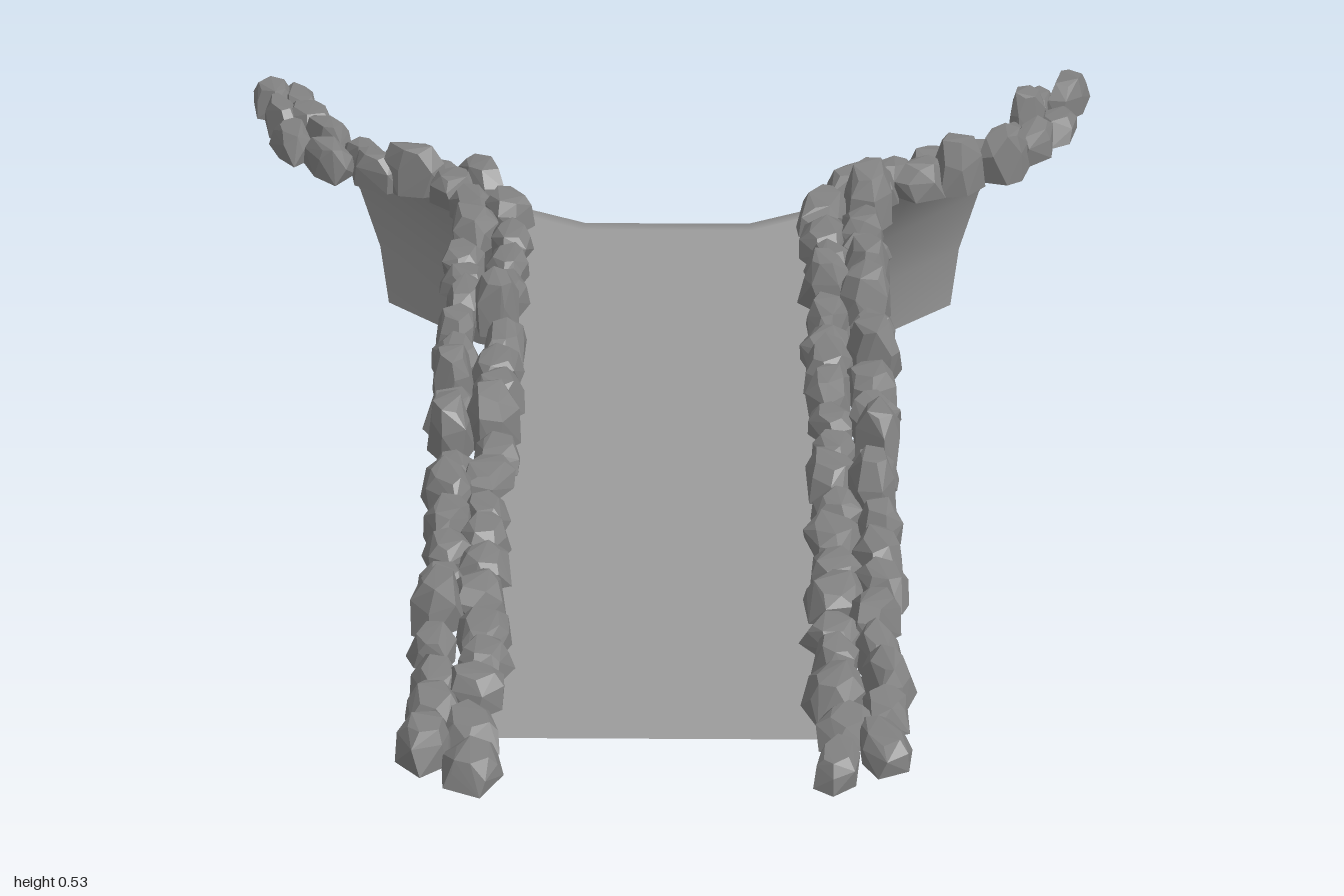
import * as THREE from 'three';
import { mergeGeometries } from 'three/addons/utils/BufferGeometryUtils.js';
import { ConvexGeometry } from 'three/addons/geometries/ConvexGeometry.js';

const DECK = 0.445;

function seeded(seed) {
  let s = seed;
  return () => (s = (s * 16807) % 2147483647) / 2147483647;
}

// Flat channel floor
function makeBed(material) {
  const shape = new THREE.Shape([
    [-0.24, 0.86], [0.24, 0.86], [0.24, -0.525], [0.13, -0.47], [-0.13, -0.47], [-0.24, -0.525],
  ].map(([x, z]) => new THREE.Vector2(x, -z)));
  const geo = new THREE.ShapeGeometry(shape);
  geo.rotateX(-Math.PI / 2);
  geo.translate(0, DECK, 0);
  const mesh = new THREE.Mesh(geo, material);
  mesh.name = 'channelBed';
  return mesh;
}

// Curved fall: each column drops from the top edge to the flared foot
function makeFall(material) {
  const foot = [[0.463, -1], [0.31, -0.87], [0.11, -0.795]];
  const lip = [[0.64, -0.91], [0.45, -0.63], [0.13, -0.47]];
  const mirror = (half) => [...half.map(([x, z]) => [-x, z]), ...half.slice().reverse()];
  const bottom = mirror(foot), top = mirror(lip);
  const profile = [[0, 0], [0.06, 0.11], [0.22, 0.225], [0.48, 0.335], [0.75, 0.41], [1, DECK]];
  const positions = [], index = [], n = bottom.length;
  for (const [f, y] of profile) {
    for (let i = 0; i < n; i++) {
      positions.push(
        THREE.MathUtils.lerp(bottom[i][0], top[i][0], f), y,
        THREE.MathUtils.lerp(bottom[i][1], top[i][1], f));
    }
  }
  for (let r = 0; r < profile.length - 1; r++) {
    for (let i = 0; i < n - 1; i++) {
      const a = r * n + i, b = a + 1, c = a + n, d = c + 1;
      index.push(a, c, b, b, c, d);
    }
  }
  const geo = new THREE.BufferGeometry();
  geo.setAttribute('position', new THREE.Float32BufferAttribute(positions, 3));
  geo.setIndex(index);
  geo.computeVertexNormals();
  // The middle of the top edge blends smoothly into the bed
  const lastRow = (profile.length - 1) * n;
  for (let i = 1; i < n - 1; i++) geo.attributes.normal.setXYZ(lastRow + i, 0, 1, 0);
  const mesh = new THREE.Mesh(geo, material);
  mesh.name = 'curvedFall';
  return mesh;
}

// Faceted stone: three jittered rings wrapped in a convex hull
function makeStone(rand, along, across, height) {
  const points = [], sides = 6, turn = rand() * Math.PI;
  for (const [level, scale] of [[0, 1], [0.65, 0.9], [1, 0.6]]) {
    for (let i = 0; i < sides; i++) {
      const a = turn + (i + (rand() - 0.5) * 0.6) / sides * Math.PI * 2;
      const r = scale * (0.88 + rand() * 0.24);
      const drop = level === 0 ? 0 : rand() * 0.15;
      points.push(new THREE.Vector3(
        Math.cos(a) * r * across, (level - drop) * height, Math.sin(a) * r * along));
    }
  }
  return new ConvexGeometry(points);
}

// Two staggered rows of overlapping stones along the channel and fall
function makeStoneEdge(side, material) {
  const rand = seeded(side > 0 ? 4211 : 977);
  const path = new THREE.CurvePath();
  const v = (x, z) => new THREE.Vector3(x, DECK, z);
  path.add(new THREE.LineCurve3(v(0.268, 0.94), v(0.268, -0.48)));
  path.add(new THREE.CatmullRomCurve3([
    v(0.268, -0.48), v(0.29, -0.55), v(0.37, -0.6), v(0.49, -0.65),
    v(0.565, -0.73), v(0.59, -0.8), v(0.607, -0.865),
  ]));
  const stones = [], count = 27;
  for (let row = 0; row < 2; row++) {
    for (let i = 0; i < count; i++) {
      const t = Math.min(1, (i + row * 0.4 + rand() * 0.3) / (count - 0.4));
      const p = path.getPointAt(t), d = path.getTangentAt(t);
      const narrow = t > 0.76 ? 0.65 : 1;
      const offset = (row ? 1 : -1) * (0.022 + rand() * 0.014) * narrow;
      const tall = rand() < 0.15;
      const height = tall ? 0.08 + rand() * 0.01 : 0.036 + rand() * 0.026;
      const along = (tall ? 0.04 : 0.043) + rand() * 0.018;
      const geo = makeStone(rand, along, (0.033 + rand() * 0.011) * Math.sqrt(narrow), height);
      geo.rotateY(Math.atan2(d.x, d.z) + (rand() - 0.5) * 0.7);
      geo.translate(p.x - d.z * offset, p.y, p.z + d.x * offset);
      if (side < 0) {
        // Mirror across x and restore the winding
        const pos = geo.attributes.position;
        for (let k = 0; k < pos.count; k += 3) {
          const q = [0, 2, 1].map((j) => new THREE.Vector3().fromBufferAttribute(pos, k + j));
          q.forEach((w, j) => pos.setXYZ(k + j, -w.x, w.y, w.z));
        }
        geo.computeVertexNormals();
      }
      stones.push(geo);
    }
  }
  const mesh = new THREE.Mesh(mergeGeometries(stones), material);
  mesh.name = side > 0 ? 'leftStoneEdge' : 'rightStoneEdge';
  return mesh;
}

export function createModel() {
  const group = new THREE.Group();
  group.name = 'stoneEdgedWaterfall';
  const sheet = new THREE.MeshStandardMaterial({ color: 0x9c9c9c, side: THREE.DoubleSide });
  const stone = new THREE.MeshStandardMaterial({ color: 0x828282, flatShading: true });
  group.add(makeBed(sheet), makeFall(sheet));
  for (const side of [1, -1]) group.add(makeStoneEdge(side, stone));
  return group;
}
